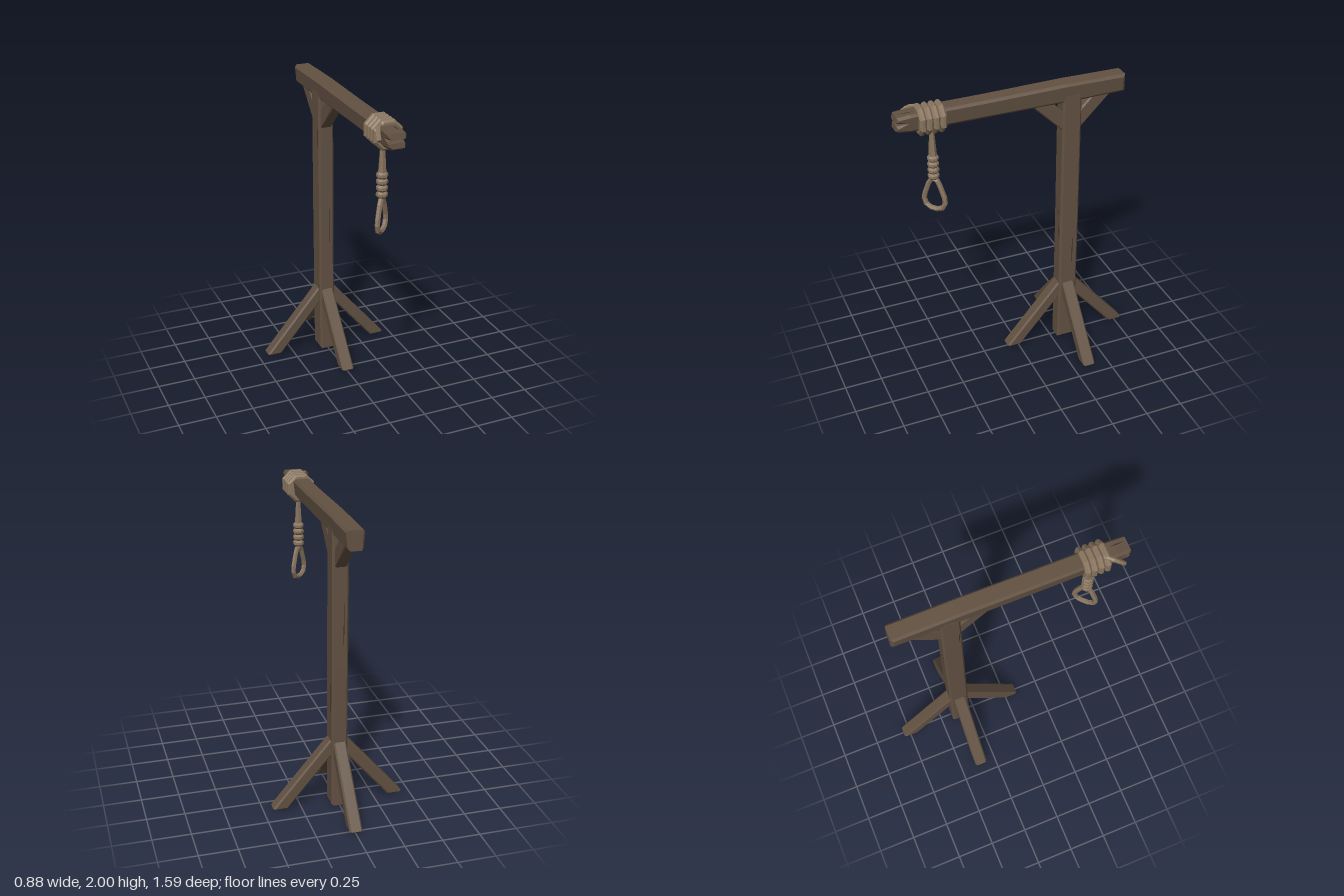
import * as THREE from 'three';

const POST_Z = -0.355;

// Flat, faceted normals for low-poly surfaces
function facet(geo) {
  const g = geo.index ? geo.toNonIndexed() : geo;
  g.computeVertexNormals();
  return g;
}

// Timber with chamfered edges: side outline [u, y] given a width across
function timber(outline, width, chamfer) {
  const shape = new THREE.Shape(outline.map(([u, v]) => new THREE.Vector2(u, v)));
  const depth = width - 2 * chamfer;
  const geo = new THREE.ExtrudeGeometry(shape, {
    depth, bevelEnabled: true, bevelThickness: chamfer,
    bevelSize: chamfer, bevelOffset: -chamfer, bevelSegments: 1, curveSegments: 1,
  });
  return geo.translate(0, 0, -depth / 2);
}

// Stack of octagonal rope turns along y, centred on the origin
function ropeTurns(turns, length, valley, ridge, core) {
  const k = 1 / Math.cos(Math.PI / 8);
  const step = length / turns;
  const pts = [new THREE.Vector2(core, -length / 2)];
  for (let i = 0; i < turns; i++) {
    const y = -length / 2 + i * step;
    pts.push(new THREE.Vector2(valley * k, y));
    pts.push(new THREE.Vector2(ridge * k, y + step * 0.3));
    pts.push(new THREE.Vector2(ridge * k, y + step * 0.7));
  }
  pts.push(new THREE.Vector2(valley * k, length / 2), new THREE.Vector2(core, length / 2));
  return new THREE.LatheGeometry(pts, 8, Math.PI / 8);
}

export function createModel() {
  const group = new THREE.Group();
  const material = (name, color) => {
    const m = new THREE.MeshStandardMaterial({ color });
    m.name = name;
    return m;
  };
  const wood = material('wood', 0x625142);
  const rope = material('rope', 0x88745e);
  const crackWood = material('crackWood', 0x362c23);

  const add = (name, geo, mat, parent = group) => {
    const mesh = new THREE.Mesh(facet(geo), mat);
    mesh.name = name;
    parent.add(mesh);
    return mesh;
  };

  // Upright post
  add('post', timber([
    [-0.42, 0], [-0.29, 0], [-0.292, 0.9], [-0.29, 1.6], [-0.292, 1.91], [-0.418, 1.91], [-0.422, 1.0],
  ], 0.106, 0.012).rotateY(-Math.PI / 2), wood);

  // Crossbeam, split at its front end and a little narrower underneath
  const beam = timber([
    [-0.72, 1.855], [-0.4, 1.85], [0.2, 1.852], [0.7, 1.852], [0.775, 1.862], [0.795, 1.875],
    [0.79, 1.908], [0.735, 1.918], [0.795, 1.928], [0.785, 1.965], [0.7, 1.972],
    [0.2, 1.974], [-0.3, 1.982], [-0.715, 1.978],
  ], 0.122, 0.016).rotateY(-Math.PI / 2);
  const bp = beam.attributes.position;
  for (let i = 0; i < bp.count; i++) {
    bp.setX(i, bp.getX(i) * (0.78 + 0.22 * (bp.getY(i) - 1.85) / 0.13));
  }
  add('crossbeam', beam, wood);

  // Four splayed legs around the post
  for (let k = 0; k < 4; k++) {
    add('leg', timber([
      [0.03, 0.385], [0.345, 0.012], [0.43, 0.012], [0.441, 0.022], [0.062, 0.472], [0.03, 0.472],
    ], 0.084, 0.01).rotateY(k * Math.PI / 2).translate(0, 0, POST_Z), wood);
  }

  // Two diagonal braces under the beam
  for (const side of [-1, 1]) {
    add('brace', timber([
      [0.04, 1.635], [0.275, 1.865], [0.255, 1.885], [0.16, 1.885], [0.04, 1.765],
    ], 0.076, 0.009).rotateY(-side * Math.PI / 2).translate(0, 0, POST_Z), wood);
  }

  // Rope turns around the beam
  add('beamWrap', ropeTurns(4, 0.17, 0.079, 0.092, 0.05)
    .rotateX(Math.PI / 2).translate(0.005, 1.908, 0.57), rope);

  // Loose rope end
  const tail = new THREE.CatmullRomCurve3([
    new THREE.Vector3(-0.03, 1.975, 0.62), new THREE.Vector3(-0.065, 1.97, 0.66),
    new THREE.Vector3(-0.085, 1.945, 0.7), new THREE.Vector3(-0.092, 1.91, 0.73),
  ]);
  add('ropeEnd', new THREE.TubeGeometry(tail, 5, 0.015, 6), rope);
  const tip = add('ropeEndTip', new THREE.CircleGeometry(0.015, 6), rope);
  tip.position.copy(tail.getPoint(1));
  tip.lookAt(tail.getPoint(1).add(tail.getTangent(1)));

  // Hanging rope, knot turns and loop
  const hanging = new THREE.Group();
  hanging.name = 'hangingRope';
  hanging.position.set(0.008, 0, 0.562);
  hanging.rotation.y = Math.PI / 4;
  group.add(hanging);
  add('ropeDrop', new THREE.CylinderGeometry(0.014, 0.027, 0.2, 6).translate(0, 1.74, 0), rope, hanging);
  add('knotTurns', ropeTurns(4, 0.165, 0.024, 0.034, 0.005).translate(0, 1.57, 0), rope, hanging);
  const half = [[0.022, 1.475], [0.052, 1.405], [0.073, 1.33], [0.055, 1.283]];
  const loopPts = [
    ...half, [0, 1.266], ...half.map(([u, y]) => [-u, y]).reverse(), [0, 1.49],
  ].map(([u, y]) => new THREE.Vector3(u, y, 0));
  const loop = new THREE.CatmullRomCurve3(loopPts, true);
  add('loop', new THREE.TubeGeometry(loop, 14, 0.017, 6, true), rope, hanging);

  // Thin dark splits in the timber: position, length, width, turn about x, y, z
  const cracks = [
    [[-0.0545, 1.62, -0.31], 0.22, 0.006, [0, -Math.PI / 2, 0]],
    [[0.0545, 0.75, -0.38], 0.3, 0.006, [0, Math.PI / 2, 0]],
    [[0.02, 0.9, -0.2895], 0.35, 0.005, [0, 0, 0]],
    [[-0.02, 1.25, -0.4235], 0.35, 0.005, [0, Math.PI, 0]],
    [[0.015, 1.974, 0.72], 0.1, 0.008, [-Math.PI / 2, 0, 0]],
  ];
  for (const [pos, len, width, turn] of cracks) {
    const s = new THREE.Shape([
      new THREE.Vector2(0, -len / 2), new THREE.Vector2(width / 2, len * 0.1),
      new THREE.Vector2(0, len / 2), new THREE.Vector2(-width / 2, 0),
    ]);
    const mesh = add('woodSplit', new THREE.ShapeGeometry(s), crackWood);
    mesh.position.set(...pos);
    mesh.rotation.set(...turn);
  }

  return group;
}
